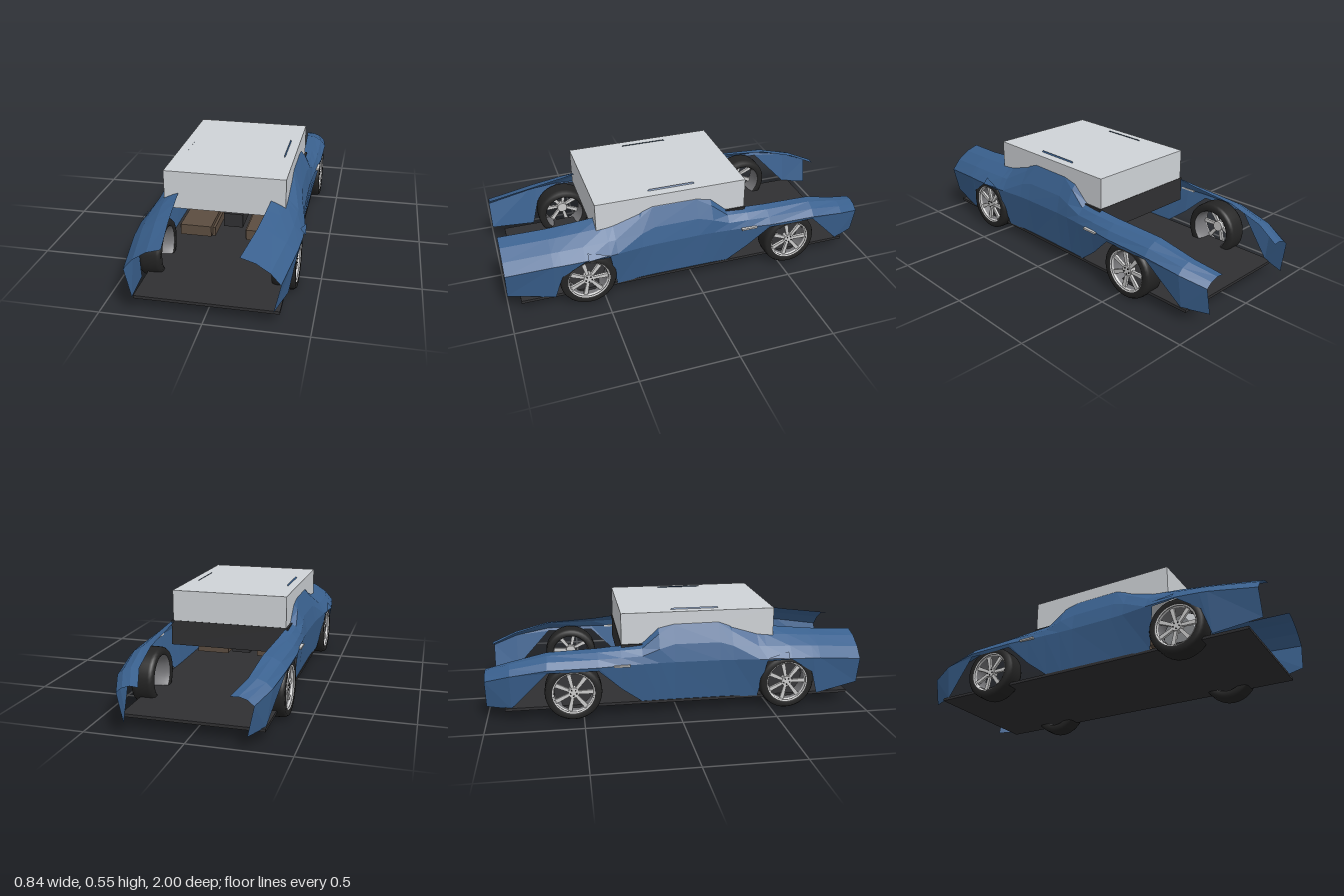
import * as THREE from 'three';

const mat = (color, extra = {}) => new THREE.MeshStandardMaterial({ color, ...extra });
const paint = mat(0x3a618f, { flatShading: true, side: THREE.DoubleSide });
const dark = mat(0x303032);
const rubber = mat(0x242424, { side: THREE.DoubleSide });
const metal = mat(0xc8c8cc, { side: THREE.DoubleSide });
const barrelGrey = mat(0x77777a, { side: THREE.DoubleSide });
const brown = mat(0x5c4d40);
const glass = mat(0xcfd3d7);

function add(parent, name, geometry, material) {
  const mesh = new THREE.Mesh(geometry, material);
  mesh.name = name;
  parent.add(mesh);
  return mesh;
}

// Box given by its limits on each axis
function box(parent, name, x0, x1, y0, y1, z0, z1, material) {
  const mesh = add(parent, name, new THREE.BoxGeometry(Math.abs(x1 - x0), y1 - y0, z1 - z0), material);
  mesh.position.set((x0 + x1) / 2, (y0 + y1) / 2, (z0 + z1) / 2);
  return mesh;
}

// Body side stations: z, then x,y of the inner top edge, the waist crease and the lower edge
const STATIONS = [
  [1, .178, .369, .362, .25, .33, .106],
  [.76, .213, .392, .397, .278, .365, .066],
  [.72, .217, .397, .402, .28, .388, .2],
  [.6, .228, .412, .41, .286, .408, .28],
  [.47, .24, .43, .402, .285, .4, .275],
  [.43, .245, .437, .397, .285, .355, .066],
  [.29, .275, .48, .38, .285, .347, .066],
  [.22, .256, .547, .376, .285, .345, .066],
  [-.02, .256, .547, .372, .285, .345, .066],
  [-.1, .285, .485, .374, .285, .345, .066],
  [-.19, .306, .378, .38, .285, .348, .066],
  [-.3, .305, .368, .387, .285, .366, .15],
  [-.42, .297, .357, .398, .283, .392, .264],
  [-.68, .281, .342, .398, .28, .392, .264],
  [-.87, .262, .293, .374, .25, .345, .066],
  [-1, .214, .246, .323, .212, .292, .066],
];

// Cross-section with two shoulder points bulging out from the line between top edge and waist
function section([z, topX, topY, waistX, waistY, lowX, lowY]) {
  const top = new THREE.Vector3(topX, topY, z);
  const waist = new THREE.Vector3(waistX, waistY, z);
  const out = new THREE.Vector3(topY - waistY, waistX - topX, 0);
  out.setLength(Math.min(.02, .13 * out.length()));
  const shoulder = (t) => top.clone().lerp(waist, t).add(out);
  return [top, shoulder(.32), shoulder(.68), waist, new THREE.Vector3(lowX, lowY, z)];
}

function bodySide(side) {
  const pos = [], index = [], n = 5;
  for (const station of STATIONS)
    for (const p of section(station)) pos.push(side * p.x, p.y, p.z);
  for (let s = 0; s < STATIONS.length - 1; s++)
    for (let i = 0; i < n - 1; i++) {
      const a = s * n + i, b = a + 1, c = a + n, d = c + 1;
      if (side > 0) index.push(a, b, c, b, d, c);
      else index.push(a, c, b, b, c, d);
    }
  const g = new THREE.BufferGeometry();
  g.setAttribute('position', new THREE.Float32BufferAttribute(pos, 3));
  g.setIndex(index);
  const flat = g.toNonIndexed();
  flat.computeVertexNormals();
  return flat;
}

// Small pointed flare over the front wheel
function archFlare(side) {
  const top = [side * .392, .32, .585];
  const front = [side * .42, .288, .585];
  const back = [side * .41, .294, .47];
  const corners = side > 0 ? [top, front, back] : [top, back, front];
  const g = new THREE.BufferGeometry();
  g.setAttribute('position', new THREE.Float32BufferAttribute(corners.flat(), 3));
  g.computeVertexNormals();
  return g;
}

// Lathe about the wheel axle; points are [radius, offset along the axle, outward positive]
const lathe = (points) =>
  new THREE.LatheGeometry(points.map(([r, h]) => new THREE.Vector2(r, h)), 36);

function createWheel() {
  const axle = new THREE.Group();
  axle.name = 'axle';
  const w = .0575;
  add(axle, 'tyre', lathe([
    [.108, -w + .004], [.115, -w], [.138, -w], [.146, -w + .012], [.148, -w + .025],
    [.148, w - .025], [.146, w - .012], [.138, w], [.115, w], [.108, w - .004],
  ]), rubber);
  add(axle, 'rimBarrel', lathe([[.108, -w + .004], [.101, -.03], [.098, .02], [.104, w - .006]]), barrelGrey);
  add(axle, 'rimLip', lathe([[.1, .04], [.104, w - .008], [.11, w - .002], [.112, w - .006]]), metal);
  // Spokes widening from the hub to the rim
  const spoke = new THREE.BoxGeometry(.084, .014, .015);
  const p = spoke.attributes.position;
  for (let i = 0; i < p.count; i++) {
    if (p.getX(i) > 0) p.setZ(i, p.getZ(i) * 1.5);
    p.setX(i, p.getX(i) + .062);
  }
  spoke.computeVertexNormals();
  for (let i = 0; i < 7; i++) {
    const m = add(axle, 'spoke', spoke, metal);
    m.position.y = .036;
    m.rotation.y = (i / 7) * Math.PI * 2 + Math.PI / 2;
  }
  const hub = add(axle, 'hub', new THREE.CylinderGeometry(.028, .028, .035, 24), metal);
  hub.position.y = .03;
  // Wheel bolts
  for (let i = 0; i < 5; i++) {
    const a = (i / 5) * Math.PI * 2;
    const bolt = add(axle, 'bolt', new THREE.CylinderGeometry(.004, .004, .006, 6), dark);
    bolt.position.set(.017 * Math.cos(a), .049, .017 * Math.sin(a));
  }
  axle.rotation.z = -Math.PI / 2;
  const wheel = new THREE.Group();
  wheel.add(axle);
  return wheel;
}

export function createModel() {
  const car = new THREE.Group();
  car.name = 'car';

  box(car, 'floor', -.35, .35, .055, .07, -.903, .935, dark);
  box(car, 'cabinGlass', -.31, .31, .34, .54, -.295, .518, glass);
  box(car, 'rearShelf', -.32, .32, .24, .375, -.297, -.185, dark);
  box(car, 'centreConsole', -.052, .052, .147, .223, -.05, .3, dark);

  for (const side of [1, -1]) {
    const label = side > 0 ? 'left' : 'right';
    add(car, label + 'BodySide', bodySide(side), paint);
    add(car, label + 'ArchFlare', archFlare(side), paint);
    box(car, label + 'DoorHandle', side * .382, side * .4, .279, .288, -.341, -.256, metal);

    // Seat: base, raised cushion and backrest
    const seat = new THREE.Group();
    seat.name = label + 'Seat';
    box(seat, 'seatBase', side * .081, side * .272, .125, .175, .08, .38, brown);
    box(seat, 'seatCushion', side * .094, side * .259, .14, .197, .1, .42, brown);
    box(seat, 'seatBack', side * .085, side * .267, .125, .46, -.02, .08, brown);
    car.add(seat);

    // Wheels
    for (const [end, z] of [['Front', .585], ['Rear', -.55]]) {
      const wheel = createWheel();
      wheel.name = label + end + 'Wheel';
      wheel.position.set(side * .333, .148, z);
      if (side < 0) wheel.rotation.y = Math.PI;
      car.add(wheel);
    }
  }
  return car;
}
